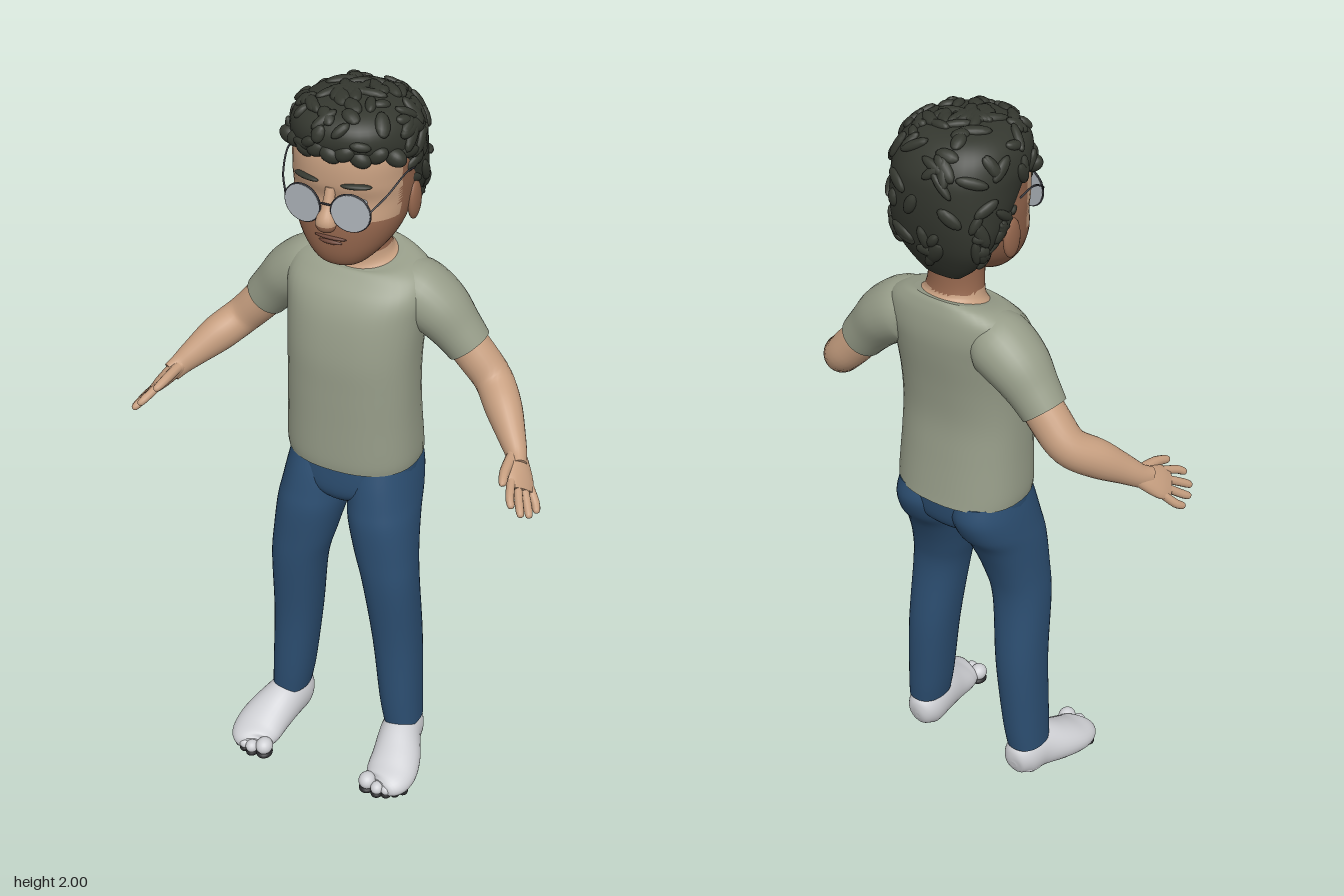
import * as THREE from 'three';
import { mergeGeometries } from 'three/addons/utils/BufferGeometryUtils.js';

const mat = (name, color) => Object.assign(new THREE.MeshStandardMaterial({ color }), { name });
const V = (x, y, z) => new THREE.Vector3(x, y, z);

// Catmull-Rom through rows of numbers, k steps between rows
function smoothRows(rows, k) {
  const out = [];
  for (let i = 0; i < rows.length - 1; i++) {
    const [a, b, c, d] = [i - 1, i, i + 1, i + 2].map((j) => rows[Math.min(Math.max(j, 0), rows.length - 1)]);
    for (let s = 0; s < k; s++) {
      const t = s / k;
      out.push(b.map((p, n) => p + 0.5 * t * (c[n] - a[n] + t * (2 * a[n] - 5 * p + 4 * c[n] - d[n] + t * (3 * (p - c[n]) + d[n] - a[n])))));
    }
  }
  out.push(rows[rows.length - 1]);
  return out;
}

// Closed surface over rings of points; pick(centre) chooses a material index per face
function skin(rings, pick = () => 0) {
  const n = rings[0].length, pts = rings.flat(), buckets = [[], []];
  const tri = (a, b, c) => {
    const m = pts[a].clone().add(pts[b]).add(pts[c]).divideScalar(3);
    buckets[pick(m)].push(a, b, c);
  };
  for (let i = 0; i < rings.length - 1; i++) {
    for (let j = 0; j < n; j++) {
      const a = i * n + j, b = i * n + (j + 1) % n;
      tri(a, b, b + n);
      tri(a, b + n, a + n);
    }
  }
  for (const [ring, end] of [[rings[0], 0], [rings[rings.length - 1], 1]]) {
    const base = pts.length, mid = V(0, 0, 0);
    ring.forEach((p) => mid.addScaledVector(p, 1 / n));
    pts.push(...ring, mid);
    for (let j = 0; j < n; j++) {
      const a = base + j, b = base + (j + 1) % n;
      if (end) tri(a, b, base + n); else tri(b, a, base + n);
    }
  }
  const g = new THREE.BufferGeometry().setFromPoints(pts);
  g.setIndex(buckets.flat());
  g.addGroup(0, buckets[0].length, 0);
  g.addGroup(buckets[0].length, buckets[1].length, 1);
  g.computeVertexNormals();
  return g;
}

const power = (v, p) => Math.sign(v) * Math.abs(v) ** p;

// Upright body: rows of [y, zFront, zBack, xMin, xMax, frontDrop]
function upright(rows, { p = 0.9, pick, n = 40, k = 5 } = {}) {
  return skin(smoothRows(rows, k).map(([y, zf, zb, x0, x1, drop = 0]) =>
    Array.from({ length: n }, (_, j) => {
      const t = j / n * Math.PI * 2, c = power(Math.cos(t), p), s = power(Math.sin(t), p);
      return V((x0 + x1) / 2 + (x1 - x0) / 2 * s, y - drop * c, (zf + zb) / 2 + (zf - zb) / 2 * c);
    })), pick);
}

// Limb along a path: rows of [x, y, z, radius along axis, radius across]
function limb(rows, axis, { pick, floor = -1, n = 20, k = 5 } = {}) {
  const r = smoothRows(rows, k), at = (i) => V(...r[Math.min(Math.max(i, 0), r.length - 1)].slice(0, 3));
  return skin(r.map(([, , , ra, rb], i) => {
    const t = at(i + 1).sub(at(i - 1)).normalize();
    const b = axis.clone().addScaledVector(t, -axis.dot(t)).normalize(), c = t.clone().cross(b);
    return Array.from({ length: n }, (_, j) => {
      const a = j / n * Math.PI * 2;
      const p = at(i).addScaledVector(b, ra * Math.cos(a)).addScaledVector(c, rb * Math.sin(a));
      p.y = Math.max(p.y, floor);
      return p;
    });
  }), pick);
}

const sym = (rows) => rows.map(([y, f, b, w, d = 0]) => [y, f, b, -w, w, d]);
const ball = (x, y, z, rx, ry, rz) => new THREE.SphereGeometry(1, 20, 14).scale(rx, ry, rz).translate(x, y, z);

export function createModel() {
  const root = new THREE.Group();
  const M = {
    hair: mat('hair', 0x34372f), skin: mat('light skin', 0xc79f80), face: mat('tanned skin', 0x94664d),
    lip: mat('lip', 0x6a4436), shirt: mat('shirt', 0x979d89), jeans: mat('jeans', 0x2c4e71),
    sock: mat('foot', 0xcfd0d4), sole: mat('sole', 0x28282a), lens: mat('lens', 0xaeb4ba), frame: mat('frame', 0x33343a),
  };
  const add = (name, geometry, material, parent = root) => {
    const m = new THREE.Mesh(geometry, material);
    m.name = name;
    parent.add(m);
    return m;
  };

  // Clothed trunk
  add('shirt', upright(sym([[0.965, 0.082, -0.202, 0.178], [1.0, 0.085, -0.197, 0.18], [1.1, 0.085, -0.185, 0.176],
    [1.2, 0.085, -0.177, 0.174], [1.3, 0.083, -0.185, 0.175], [1.4, 0.066, -0.2, 0.182], [1.46, 0.04, -0.205, 0.19],
    [1.505, 0.005, -0.2, 0.178, 0.006], [1.53, -0.012, -0.19, 0.14, 0.014], [1.537, -0.02, -0.182, 0.1, 0.02]]), { p: 0.85 }), M.shirt);
  add('hips', upright(sym([[0.83, 0.02, -0.07, 0.02], [0.86, 0.06, -0.145, 0.09], [0.9, 0.076, -0.178, 0.165],
    [0.985, 0.074, -0.19, 0.17]])), M.jeans);
  add('neck', upright(sym([[1.48, 0.0, -0.17, 0.1], [1.525, -0.018, -0.175, 0.098, 0.018], [1.55, -0.03, -0.165, 0.078, 0.012],
    [1.6, -0.025, -0.16, 0.07], [1.68, -0.02, -0.16, 0.07]]), { p: 1, pick: (m) => (m.y > 1.565 ? 1 : 0) }), [M.skin, M.face]);

  // Arms, legs and feet, mirrored by s
  for (const s of [1, -1]) {
    const side = s > 0 ? 'left' : 'right';
    const flip = (rows) => rows.map(([x, ...rest]) => [s * x, ...rest]);
    const leg = (rows) => rows.map(([y, f, b, i, o]) => (s > 0 ? [y, f, b, i, o] : [y, f, b, -o, -i]));

    add(side + 'Sleeve', limb(flip([[0.1, 1.45, -0.105, 0.07, 0.07], [0.14, 1.448, -0.108, 0.088, 0.083],
      [0.2, 1.41, -0.112, 0.084, 0.078], [0.25, 1.357, -0.115, 0.068, 0.066], [0.285, 1.315, -0.117, 0.06, 0.06]]),
    V(0, 0, 1), { n: 28 }), M.shirt);
    const arm = new THREE.Group();
    arm.name = side + 'Arm';
    root.add(arm);
    add('forearm', limb(flip([[0.24, 1.365, -0.115, 0.052, 0.052], [0.3, 1.295, -0.118, 0.053, 0.052],
      [0.355, 1.235, -0.112, 0.05, 0.05], [0.405, 1.192, -0.062, 0.05, 0.047], [0.45, 1.15, -0.01, 0.038, 0.035],
      [0.475, 1.125, 0.02, 0.031, 0.027], [0.49, 1.11, 0.045, 0.03, 0.022]]), V(0, 1, 0), { n: 24 }), M.skin, arm);
    const along = V(0.45 * s, -0.5, 0.74), across = V(0.5 * s, -0.55, -0.67), wrist = V(0.475 * s, 1.125, 0.02);
    const hand = (a, c, ra, rb) => [...wrist.clone().addScaledVector(along, a).addScaledVector(across, c).toArray(), ra, rb];
    add('palm', limb([hand(-0.01, 0, 0.026, 0.02), hand(0.03, 0, 0.038, 0.021), hand(0.07, 0, 0.046, 0.018),
      hand(0.1, 0, 0.04, 0.012)], across), M.skin, arm);
    const fingers = [0.158, 0.175, 0.17, 0.15].map((len, i) => {
      const c = (i - 1.5) * 0.022, spread = (i - 1.5) * 0.031;
      return limb([hand(0.08, c, 0.011, 0.011), hand(len - 0.03, spread, 0.011, 0.011), hand(len - 0.006, spread, 0.009, 0.009),
        hand(len, spread, 0.003, 0.003)], across, { n: 10, k: 3 });
    });
    fingers.push(limb([hand(0.015, -0.02, 0.016, 0.014), hand(0.06, -0.052, 0.013, 0.013), hand(0.095, -0.066, 0.01, 0.01),
      hand(0.103, -0.067, 0.003, 0.003)], across, { n: 10, k: 3 }));
    add('fingers', mergeGeometries(fingers), M.skin, arm);

    add(side + 'TrouserLeg', upright(leg([[0.115, 0.06, -0.07, 0.122, 0.225], [0.2, 0.065, -0.078, 0.108, 0.222],
      [0.4, 0.07, -0.085, 0.085, 0.215], [0.6, 0.09, -0.07, 0.06, 0.21], [0.7, 0.094, -0.085, 0.035, 0.203],
      [0.8, 0.095, -0.125, 0.011, 0.195], [0.86, 0.086, -0.168, 0.003, 0.187], [0.92, 0.074, -0.192, 0.002, 0.177],
      [0.97, 0.06, -0.185, 0.01, 0.165]])), M.jeans);

    const foot = new THREE.Group();
    foot.name = side + 'Foot';
    root.add(foot);
    add('ankle', upright(leg([[0.03, 0.06, -0.06, 0.13, 0.222], [0.1, 0.055, -0.062, 0.128, 0.218],
      [0.145, 0.052, -0.062, 0.13, 0.218]])), M.sock, foot);
    add('foot', limb(flip([[0.17, 0.055, -0.07, 0.01, 0.012], [0.17, 0.057, -0.062, 0.034, 0.042], [0.172, 0.065, -0.03, 0.052, 0.066],
      [0.18, 0.068, 0.03, 0.058, 0.068], [0.2, 0.05, 0.1, 0.068, 0.056], [0.208, 0.036, 0.155, 0.07, 0.044],
      [0.205, 0.031, 0.195, 0.058, 0.034], [0.2, 0.03, 0.21, 0.03, 0.02]]), V(1, 0, 0),
    { floor: 0.002, n: 32, pick: (m) => (m.y < 0.012 ? 1 : 0) }), [M.sock, M.sole], foot);
    const toes = [[0.16, 0.207, 0.024], [0.194, 0.217, 0.018], [0.219, 0.21, 0.016], [0.24, 0.197, 0.015], [0.257, 0.18, 0.014]];
    add('toes', mergeGeometries(toes.map(([x, z, r]) => ball(s * x, r + 0.012, z, r, r, r * 1.1))), M.sock, foot);
    add('toeSoles', mergeGeometries(toes.map(([x, z, r]) => ball(s * x, 0.012, z, r * 0.95, 0.012, r * 1.1))), M.sole, foot);
  }

  // Head: lower face and sides are more tanned
  const head = new THREE.Group();
  head.name = 'head';
  root.add(head);
  const tan = (m) => (m.y > 1.715 && m.z > 0.0 ? 0 : 1);
  add('face', upright(sym([[1.57, 0.05, -0.005, 0.025], [1.582, 0.074, -0.03, 0.058], [1.61, 0.088, -0.08, 0.09],
    [1.65, 0.094, -0.13, 0.12], [1.7, 0.094, -0.16, 0.14], [1.76, 0.086, -0.18, 0.148], [1.81, 0.097, -0.19, 0.148],
    [1.88, 0.092, -0.19, 0.143], [1.94, 0.06, -0.15, 0.1]]), { pick: tan, n: 48, k: 8 }), [M.skin, M.face], head);
  add('nose', limb([[0, 1.8, 0.09, 0.012, 0.012], [0, 1.755, 0.103, 0.016, 0.016], [0, 1.72, 0.117, 0.026, 0.022],
    [0, 1.706, 0.112, 0.024, 0.018], [0, 1.698, 0.1, 0.012, 0.008]], V(1, 0, 0), { pick: tan }), [M.skin, M.face], head);
  add('mouth', mergeGeometries([ball(0, 1.665, 0.09, 0.042, 0.006, 0.01), ball(0, 1.653, 0.089, 0.032, 0.007, 0.011)]), M.lip, head);
  for (const s of [1, -1]) {
    add('ear', ball(s * 0.147, 1.722, -0.07, 0.014, 0.052, 0.03).rotateY(0), M.face, head);
    add('eye', ball(s * 0.06, 1.765, 0.07, 0.026, 0.016, 0.018), M.lens, head);
    add('pupil', ball(s * 0.06, 1.765, 0.083, 0.01, 0.01, 0.007), M.frame, head);
    add('eyebrow', ball(0, 0, 0, 0.038, 0.007, 0.012).rotateY(s * 0.3).translate(s * 0.065, 1.813, 0.086), M.hair, head);
  }

  // Glasses
  const glasses = new THREE.Group();
  glasses.name = 'glasses';
  head.add(glasses);
  for (const s of [1, -1]) {
    const place = (g) => g.rotateY(s * 0.12).translate(s * 0.063, 1.755, 0.112);
    add('lens', place(new THREE.CylinderGeometry(0.048, 0.048, 0.006, 32).rotateX(Math.PI / 2)), M.lens, glasses);
    add('rim', place(new THREE.TorusGeometry(0.049, 0.0025, 6, 36)), M.frame, glasses);
    add('temple', new THREE.TubeGeometry(new THREE.CatmullRomCurve3([V(s * 0.11, 1.765, 0.108), V(s * 0.135, 1.795, 0.07),
      V(s * 0.155, 1.83, 0), V(s * 0.155, 1.82, -0.05)]), 16, 0.0025, 6), M.frame, glasses);
  }
  add('bridge', new THREE.CylinderGeometry(0.0025, 0.0025, 0.03, 6).rotateZ(Math.PI / 2).translate(0, 1.768, 0.118), M.frame, glasses);

  // Hair: a full cap covered with flattened curls
  const cap = upright(sym([[1.615, -0.125, -0.165, 0.055], [1.65, -0.1, -0.185, 0.095], [1.7, -0.085, -0.208, 0.128],
    [1.75, -0.04, -0.222, 0.148], [1.8, 0.01, -0.23, 0.155], [1.855, 0.06, -0.232, 0.158], [1.9, 0.1, -0.226, 0.158],
    [1.945, 0.097, -0.2, 0.143], [1.975, 0.06, -0.16, 0.105], [1.987, 0.0, -0.1, 0.05], [1.989, -0.04, -0.06, 0.01]]));
  add('hairCap', cap, M.hair, head);
  let seed = 7;
  const rand = () => (seed = (seed * 16807) % 2147483647) / 2147483647;
  const pos = cap.attributes.position, nor = cap.attributes.normal, curls = [], o = new THREE.Object3D();
  while (curls.length < 130) {
    const i = Math.floor(rand() * pos.count), p = V(0, 0, 0).fromBufferAttribute(pos, i);
    if (p.y < 1.66 || (p.y < 1.89 && p.z > -0.08 + (p.y - 1.75) * 0.7)) continue;
    o.position.copy(p);
    o.lookAt(V(0, 0, 0).fromBufferAttribute(nor, i).add(p));
    o.rotateZ(rand() * 3.14);
    o.scale.set(0.022 + rand() * 0.02, 0.011 + rand() * 0.008, 0.011);
    o.updateMatrix();
    curls.push(new THREE.SphereGeometry(1, 12, 8).applyMatrix4(o.matrix));
  }
  // Fringe along the hairline
  for (let i = -4; i <= 4; i++) {
    const x = i * 0.034;
    curls.push(ball(0, 0, 0, 0.03, 0.022, 0.022).rotateZ(i % 2 ? 0.5 : -0.4)
      .translate(x, 1.888 - Math.abs(x) * 0.08 + (i % 2 ? 0.01 : 0), 0.09 - x * x * 3.6));
  }
  add('curls', mergeGeometries(curls), M.hair, head);
  return root;
}
